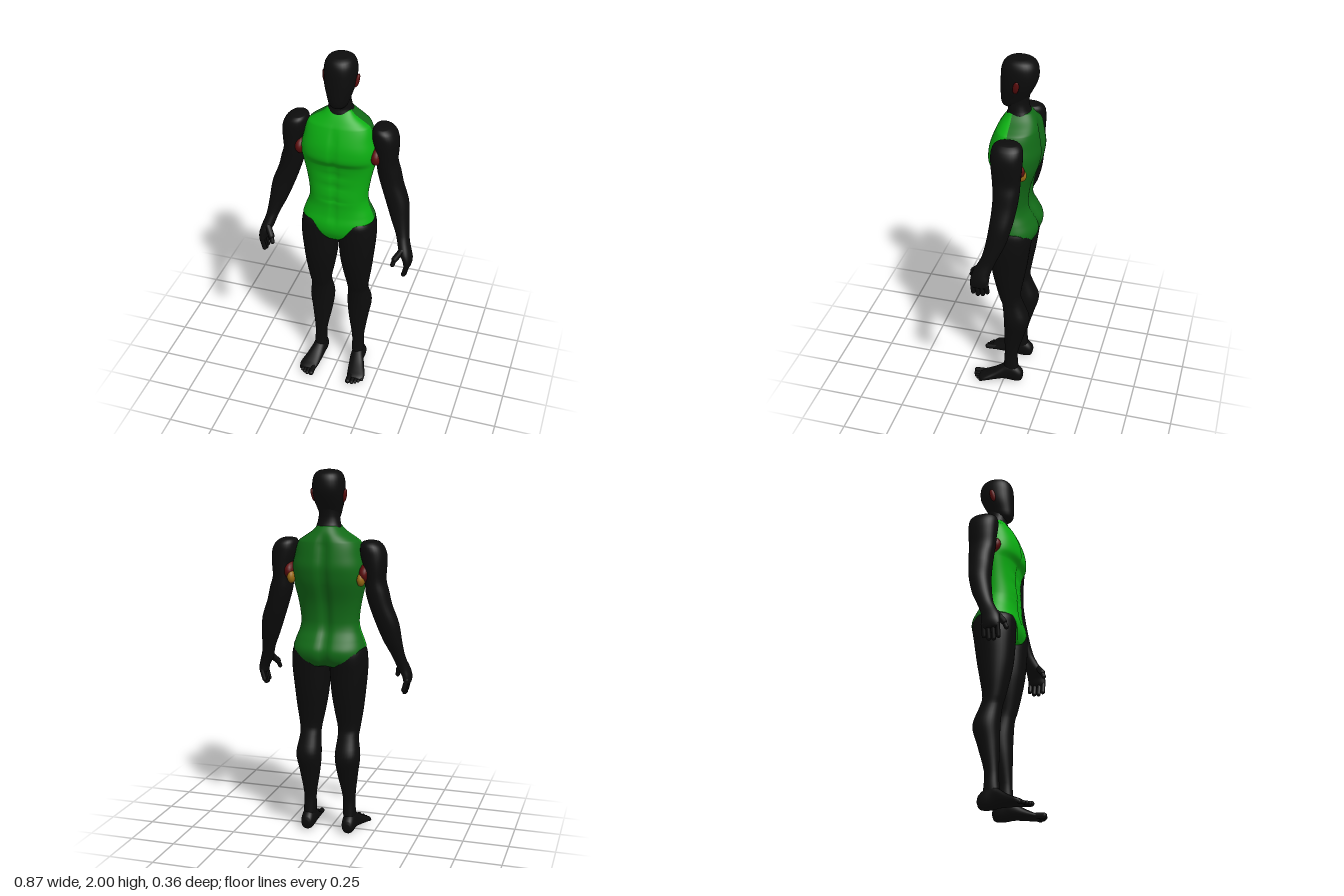
import * as THREE from 'three';

const mat = (name, color) => Object.assign(new THREE.MeshStandardMaterial({ color }), { name });

// Smooth interpolation of a cross-section table [y, x0, x1, zBack, zFront] at height y
function sample(rows, y) {
  let i = 0;
  while (i < rows.length - 2 && y < rows[i + 1][0]) i++;
  const a = rows[i], b = rows[i + 1];
  const p = rows[Math.max(i - 1, 0)], q = rows[Math.min(i + 2, rows.length - 1)];
  const h = b[0] - a[0], t = THREE.MathUtils.clamp((y - a[0]) / h, 0, 1);
  return a.map((v, k) => {
    const m0 = (b[k] - p[k]) / (b[0] - p[0]) * h, m1 = (q[k] - v) / (q[0] - a[0]) * h;
    const t2 = t * t, t3 = t2 * t;
    return (2 * t3 - 3 * t2 + 1) * v + (t3 - 2 * t2 + t) * m0 + (3 * t2 - 2 * t3) * b[k] + (t3 - t2) * m1;
  });
}

// Closed loft of rounded sections, rows listed from top to bottom; groups: 0 front, 1 back
function loft(rows, { seg = 32, steps = 4, n = 2.2, split = null, remap = (y) => y, shape = null } = {}) {
  const ys = [];
  for (let i = 0; i < rows.length - 1; i++)
    for (let s = 0; s < steps; s++) ys.push(THREE.MathUtils.lerp(rows[i][0], rows[i + 1][0], s / steps));
  ys.push(rows[rows.length - 1][0]);
  const pos = [], index = [], round = (v) => Math.sign(v) * Math.abs(v) ** (2 / n);
  for (const y0 of ys) {
    for (let j = 0; j < seg; j++) {
      const a = j / seg * Math.PI * 2, c = round(Math.cos(a)), s = round(Math.sin(a));
      const y = remap(y0, c, s);
      const [, x0, x1, zb, zf] = sample(rows, y);
      const zs = split ?? (zb + zf) / 2;
      const x = (x0 + x1) / 2 + (x1 - x0) / 2 * c;
      const z = zs + s * (s > 0 ? zf - zs : zs - zb);
      pos.push(x, y, shape ? shape(x, y, z, s) : z);
    }
  }
  for (const r of [rows[0], rows[rows.length - 1]])
    pos.push((r[1] + r[2]) / 2, r[0], (r[3] + r[4]) / 2);
  const last = (ys.length - 1) * seg, top = ys.length * seg;
  for (let j = 0; j < seg; j++) {
    const k = (j + 1) % seg;
    index.push(top, k, j);
    for (let i = 0; i < last; i += seg)
      index.push(i + j, i + k, i + seg + j, i + k, i + seg + k, i + seg + j);
    index.push(top + 1, last + j, last + k);
  }
  const g = new THREE.BufferGeometry();
  g.setAttribute('position', new THREE.Float32BufferAttribute(pos, 3));
  g.setIndex(index);
  g.addGroup(0, index.length / 2, 0);
  g.addGroup(index.length / 2, index.length / 2, 1);
  g.computeVertexNormals();
  return g;
}

export function createModel() {
  const model = new THREE.Group();
  const black = mat('black', 0x0c0c0c), green = mat('bright green', 0x0cae12);
  const darkGreen = mat('dark green', 0x126a17), red = mat('dark red', 0x5c0d0d), ochre = mat('ochre', 0x9a6a14);

  const add = (parent, name, geo, material) => {
    const m = new THREE.Mesh(geo, material);
    m.name = name;
    parent.add(m);
    return m;
  };
  const ball = (parent, name, material, p, r) => {
    const m = add(parent, name, new THREE.SphereGeometry(1, 24, 16), material);
    m.position.set(...p);
    m.scale.set(...r);
    return m;
  };
  const rod = (parent, name, from, to, r) => {
    const a = new THREE.Vector3(...from), b = new THREE.Vector3(...to), d = b.clone().sub(a);
    const m = add(parent, name, new THREE.CapsuleGeometry(r, d.length(), 5, 12), black);
    m.position.copy(a).add(b).multiplyScalar(0.5);
    m.quaternion.setFromUnitVectors(new THREE.Vector3(0, 1, 0), d.normalize());
  };

  // Torso: half width, back and front depth at each height
  const torso = [
    [1.71, 0.062, -0.125, -0.005], [1.68, 0.09, -0.145, 0.02], [1.65, 0.135, -0.16, 0.04],
    [1.625, 0.167, -0.168, 0.055], [1.55, 0.188, -0.18, 0.085], [1.5, 0.199, -0.185, 0.096],
    [1.45, 0.2, -0.178, 0.095], [1.405, 0.195, -0.167, 0.07], [1.3, 0.172, -0.132, 0.066],
    [1.2, 0.159, -0.118, 0.075], [1.15, 0.167, -0.125, 0.075], [1.1, 0.186, -0.152, 0.081],
    [1.05, 0.201, -0.176, 0.094], [1.0, 0.203, -0.168, 0.092], [0.95, 0.19, -0.13, 0.072],
  ].map(([y, w, b, f]) => [y, -w, w, b, f]);
  const smooth = THREE.MathUtils.smoothstep, bell = (v, w) => Math.exp(-((v / w) ** 2));
  // Lower edge rises over the hips and dips at the crotch and seat
  const hem = (y, c, s) => {
    if (y > 1.15) return y;
    const x = Math.abs(c) * 0.2;
    const low = s > 0 ? 0.95 + 0.11 * smooth(x, 0.025, 0.13) : 0.96 + 0.1 * smooth(x, 0.1, 0.2);
    return 1.15 - (1.15 - y) / 0.2 * (1.15 - low);
  };
  // Chest and belly lines in front, spine furrow behind
  const muscle = (x, y, z, s) => {
    const fade = smooth(y, 1.02, 1.1) * (1 - smooth(y, 1.56, 1.66));
    if (s < -0.1) return z + 0.02 * bell(x, 0.025) * (1 - smooth(y, 1.6, 1.7));
    if (s < 0.1) return z;
    let d = 0.008 * bell(x, 0.014);
    for (const line of [1.35, 1.28, 1.2]) d += 0.005 * bell(y - line, 0.012) * bell(x, 0.07);
    return z - d * fade;
  };
  add(model, 'torso', loft(torso, { seg: 80, steps: 6, n: 2.4, split: -0.03, remap: hem, shape: muscle }), [green, darkGreen]);

  // Neck and head
  add(model, 'neck', loft([
    [1.82, -0.055, 0.055, -0.11, 0.01], [1.76, -0.055, 0.055, -0.102, 0.01],
    [1.72, -0.062, 0.062, -0.108, 0.004], [1.69, -0.07, 0.07, -0.125, 0.012], [1.66, -0.06, 0.06, -0.12, 0.01],
  ]), black);
  add(model, 'head', loft([
    [2.0, -0.02, 0.02, -0.08, -0.03], [1.994, -0.05, 0.05, -0.11, 0], [1.975, -0.072, 0.072, -0.138, 0.025],
    [1.94, -0.083, 0.083, -0.151, 0.038], [1.89, -0.084, 0.084, -0.15, 0.042], [1.84, -0.078, 0.078, -0.13, 0.043],
    [1.79, -0.063, 0.063, -0.103, 0.043], [1.755, -0.052, 0.052, -0.085, 0.04],
    [1.735, -0.038, 0.038, -0.06, 0.03], [1.728, -0.02, 0.02, -0.04, 0.015],
  ]), black);

  const side = new THREE.Group();
  side.name = 'leftSide';
  ball(side, 'ear', red, [0.086, 1.866, -0.055], [0.011, 0.037, 0.016]).rotation.set(-0.2, 0, -0.2);
  ball(side, 'armpit', red, [0.207, 1.465, -0.05], [0.038, 0.056, 0.086]);
  ball(side, 'armpitPatch', ochre, [0.192, 1.435, -0.11], [0.022, 0.035, 0.032]);

  // Arm from shoulder to palm
  add(side, 'arm', loft([
    [1.637, 0.205, 0.25, -0.08, -0.02], [1.63, 0.185, 0.272, -0.11, 0.008], [1.605, 0.176, 0.298, -0.13, 0.026],
    [1.56, 0.178, 0.314, -0.134, 0.03], [1.5, 0.195, 0.314, -0.132, 0.026], [1.43, 0.203, 0.311, -0.126, 0.02],
    [1.37, 0.206, 0.328, -0.124, 0.014], [1.3, 0.224, 0.345, -0.117, 0.012], [1.2, 0.258, 0.381, -0.1, 0.018],
    [1.1, 0.297, 0.394, -0.072, 0.032], [1.03, 0.33, 0.402, -0.04, 0.048], [0.99, 0.345, 0.41, -0.022, 0.066],
    [0.94, 0.362, 0.427, -0.004, 0.092], [0.9, 0.385, 0.436, 0, 0.1], [0.865, 0.395, 0.432, 0.003, 0.1],
    [0.855, 0.405, 0.422, 0.012, 0.09],
  ]), black);
  [[0.012, 0.825], [0.037, 0.808], [0.063, 0.805], [0.088, 0.815]].forEach(([z, y]) =>
    rod(side, 'finger', [0.416, 0.88, z], [0.4, y, z], 0.0125));
  rod(side, 'thumb', [0.38, 0.955, 0.07], [0.352, 0.915, 0.1], 0.017);
  rod(side, 'thumbTip', [0.352, 0.915, 0.1], [0.343, 0.885, 0.112], 0.0125);

  // Leg from hip to ankle
  add(side, 'leg', loft([
    [1.09, 0.03, 0.17, -0.12, 0.05], [1.05, 0.008, 0.198, -0.148, 0.082], [1.0, 0.003, 0.207, -0.152, 0.085],
    [0.93, 0.003, 0.208, -0.142, 0.082], [0.8, 0.012, 0.196, -0.124, 0.07], [0.7, 0.028, 0.185, -0.106, 0.05],
    [0.6, 0.048, 0.17, -0.092, 0.025], [0.55, 0.05, 0.166, -0.108, 0.01], [0.45, 0.042, 0.18, -0.144, 0],
    [0.35, 0.052, 0.166, -0.12, -0.002], [0.2, 0.079, 0.147, -0.08, -0.004],
    [0.12, 0.08, 0.149, -0.082, 0], [0.05, 0.085, 0.148, -0.09, 0.01],
  ]), black);

  // Foot, lofted from heel to toes
  add(side, 'foot', loft([
    [0.112, 0.105, 0.135, 0.03, 0.06], [0.104, 0.09, 0.147, 0.01, 0.08], [0.075, 0.081, 0.155, 0, 0.105],
    [0.03, 0.08, 0.156, 0, 0.12], [0, 0.08, 0.162, 0.005, 0.105], [-0.05, 0.085, 0.18, 0.004, 0.07],
    [-0.1, 0.092, 0.197, 0.002, 0.044], [-0.125, 0.098, 0.193, 0.003, 0.033], [-0.14, 0.105, 0.175, 0.008, 0.024],
  ]).rotateX(-Math.PI / 2), black);
  [[0.113, 0.167, 0.015], [0.137, 0.167, 0.011], [0.155, 0.158, 0.01], [0.171, 0.145, 0.01], [0.186, 0.127, 0.01]]
    .forEach(([x, z, r]) => rod(side, 'toe', [x, 0.02, 0.1], [x, r, z], r));

  const mirror = side.clone();
  mirror.name = 'rightSide';
  mirror.scale.x = -1;
  model.add(side, mirror);
  return model;
}
